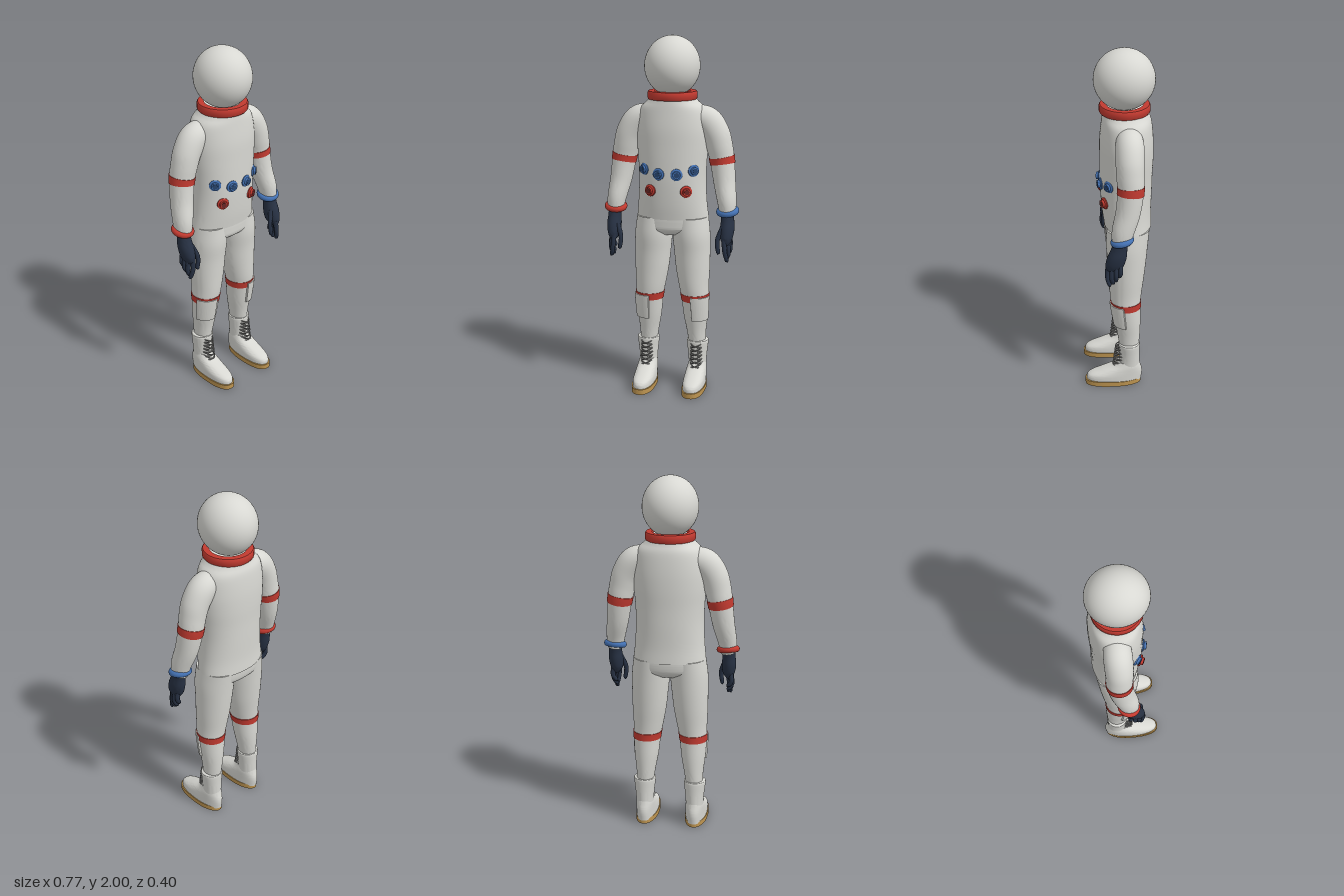
import * as THREE from 'three';
import { toCreasedNormals } from 'three/addons/utils/BufferGeometryUtils.js';

const paint = (name, color) => {
  const m = new THREE.MeshStandardMaterial({ color, side: THREE.DoubleSide });
  m.name = name;
  return m;
};

// Smooth loft through sections [x, y, z, rx, rz], listed from top to bottom.
// tilt: rings follow the path; from/to: part of the path; grow: offset outwards;
// a0/a1: part of the circumference; power: below 1 makes rings squarer.
function loft(sections, o = {}) {
  const { tilt = false, from = 0, to = 1, grow = 0, a0 = 0, a1 = Math.PI * 2,
    power = 1, heel = 1, n = 40, steps = 36 } = o;
  const closed = a1 - a0 > 6.28;
  const path = new THREE.CatmullRomCurve3(sections.map(s => new THREE.Vector3(s[0], s[1], s[2])), false, 'catmullrom');
  const size = new THREE.CatmullRomCurve3(sections.map(s => new THREE.Vector3(s[3], s[4], 0)), false, 'catmullrom');
  const pos = [], idx = [], cols = closed ? n : n + 1;
  const u = new THREE.Vector3(1, 0, 0), v = new THREE.Vector3(0, 0, 1);
  const ts = [from];
  for (let i = 0; i <= steps; i++) ts.push(from + (to - from) * i / steps);
  ts.push(to);
  ts.forEach((t, i) => {
    const c = path.getPoint(t), r = size.getPoint(t);
    if (tilt) {
      const d = path.getTangent(t);
      v.set(0, 0, 1).addScaledVector(d, -d.z).normalize();
      u.crossVectors(v, d);
    }
    const rim = i === 0 || i === ts.length - 1;
    for (let j = 0; j < cols; j++) {
      const a = a0 + (a1 - a0) * j / n;
      const g = rim || (!closed && (j === 0 || j === n)) ? 0 : grow;
      const bend = k => Math.sign(k) * Math.abs(k) ** power;
      const p = c.clone()
        .addScaledVector(u, bend(Math.cos(a)) * (r.x + g) * (Math.sin(a) < 0 ? 1 - (1 - heel) * Math.sin(a) ** 2 : 1))
        .addScaledVector(v, bend(Math.sin(a)) * (r.y + g));
      pos.push(p.x, p.y, p.z);
    }
  });
  for (let i = 0; i < ts.length - 1; i++) {
    for (let j = 0; j < n; j++) {
      const k = (j + 1) % cols, a = i * cols + j, b = i * cols + k;
      idx.push(a, b, a + cols, b, b + cols, a + cols);
    }
  }
  // End caps
  if (closed && !grow) {
    const last = (ts.length - 1) * cols, top = pos.length / 3;
    for (const t of [from, to]) pos.push(...path.getPoint(t).toArray());
    for (let j = 0; j < n; j++) {
      const k = (j + 1) % n;
      idx.push(top, k, j, top + 1, last + j, last + k);
    }
  }
  const geo = new THREE.BufferGeometry();
  geo.setAttribute('position', new THREE.Float32BufferAttribute(pos, 3));
  geo.setIndex(idx);
  return toCreasedNormals(geo, 0.8);
}

export function createModel() {
  const white = paint('suit white', 0xd8d8d3);
  const red = paint('trim red', 0xc23a30);
  const blue = paint('trim blue', 0x4472b4);
  const navy = paint('glove navy', 0x273143);
  const tan = paint('sole tan', 0xbd9450);
  const grey = paint('lace grey', 0x8c8c8a);
  const darkRed = paint('port dark red', 0x6a2826);
  const darkBlue = paint('port dark blue', 0x29466f);

  const model = new THREE.Group();
  model.name = 'spacesuitFigure';
  const add = (name, geo, mat, parent = model) => {
    const m = new THREE.Mesh(geo, mat);
    m.name = name;
    parent.add(m);
    return m;
  };
  const lathe = (pts, n = 40) => toCreasedNormals(
    new THREE.LatheGeometry(pts.map(p => new THREE.Vector2(...p)), n), 0.7);

  // Helmet and neck ring
  const helmet = add('helmet', new THREE.SphereGeometry(1, 48, 32), white);
  helmet.scale.set(0.153, 0.165, 0.165);
  helmet.position.set(0, 1.835, -0.033);
  add('neckRing', lathe([[0.1, 1.655], [0.132, 1.655], [0.137, 1.662], [0.137, 1.692],
    [0.132, 1.7], [0.1, 1.7]], 48), red).position.z = -0.035;

  // Jacket and hips
  add('jacket', loft([
    [0, 1.68, -0.037, 0.115, 0.115], [0, 1.645, -0.04, 0.14, 0.124], [0, 1.6, -0.045, 0.18, 0.135],
    [0, 1.5, -0.045, 0.198, 0.145], [0, 1.4, -0.045, 0.198, 0.146], [0, 1.3, -0.043, 0.191, 0.144],
    [0, 1.2, -0.043, 0.188, 0.142], [0, 1.08, -0.046, 0.194, 0.136], [0, 0.995, -0.053, 0.203, 0.132],
  ], { n: 64, power: 0.94 }), white);
  add('hips', loft([
    [0, 1.03, -0.052, 0.197, 0.126], [0, 0.97, -0.051, 0.204, 0.125],
    [0, 0.93, -0.048, 0.195, 0.116], [0, 0.9, -0.045, 0.12, 0.08],
  ], { n: 64, power: 0.92 }), white);

  // Chest ports, set square to the curve of the jacket
  const ports = [[0.136, 1.275, blue, darkBlue], [0.05, 1.255, blue, darkBlue], [0.1, 1.16, red, darkRed]];
  for (const s of [-1, 1]) for (const [x, y, mat, dark] of ports) {
    const k = Math.sqrt(1 - (x / 0.188) ** 2);
    const port = new THREE.Group();
    port.name = 'chestPort';
    port.position.set(s * x, y, -0.043 + 0.143 * k);
    port.quaternion.setFromUnitVectors(new THREE.Vector3(0, 1, 0),
      new THREE.Vector3(s * x / 0.188 ** 2, 0, k / 0.143).normalize());
    add('portCollar', lathe([[0.033, -0.012], [0.033, 0.005], [0.029, 0.009], [0.022, 0.01],
      [0.021, 0.022], [0.013, 0.022], [0.013, 0.014]], 24), mat, port);
    add('portCentre', new THREE.CylinderGeometry(0.016, 0.016, 0.007, 6), dark, port).position.y = 0.02;
    model.add(port);
  }

  for (const s of [-1, 1]) {
    const side = s > 0 ? 'left' : 'right';
    const flip = list => list.map(([x, ...rest]) => [s * x, ...rest]);
    const limb = new THREE.Group(), leg = new THREE.Group();
    limb.name = side + 'Arm';
    leg.name = side + 'Leg';
    model.add(limb, leg);

    // Sleeve with band
    const arm = flip([
      [0.13, 1.565, -0.05, 0.065, 0.068], [0.195, 1.535, -0.05, 0.078, 0.075], [0.24, 1.47, -0.048, 0.077, 0.075],
      [0.262, 1.4, -0.048, 0.073, 0.073], [0.278, 1.32, -0.05, 0.068, 0.07], [0.295, 1.2, -0.035, 0.061, 0.066],
      [0.313, 1.1, -0.008, 0.053, 0.06], [0.32, 1.03, 0.002, 0.044, 0.05],
    ]);
    add('sleeve', loft(arm, { tilt: true }), white, limb);
    add('armBand', loft(arm, { tilt: true, from: 0.538, to: 0.598, grow: 0.003, steps: 6 }), red, limb);

    // Wrist ring
    const ring = add('wristRing', new THREE.TorusGeometry(0.046, 0.018, 16, 40), s > 0 ? blue : red, limb);
    ring.position.set(s * 0.319, 1.045, -0.003);
    ring.rotation.set(Math.PI / 2 + 0.22, s * 0.08, 0);

    // Glove: palm and fingers
    add('palm', loft(flip([
      [0.32, 1.05, 0, 0.036, 0.04], [0.322, 1, 0.012, 0.036, 0.043], [0.322, 0.95, 0.024, 0.04, 0.052],
      [0.32, 0.9, 0.036, 0.034, 0.051], [0.322, 0.868, 0.042, 0.018, 0.036],
    ]), { n: 24, steps: 16 }), navy, limb);
    const fingers = {
      indexFinger: [[0.312, 0.9, 0.07], [0.318, 0.83, 0.077], [0.328, 0.78, 0.066]],
      middleFinger: [[0.325, 0.89, 0.05], [0.335, 0.82, 0.053], [0.32, 0.785, 0.046]],
      ringFinger: [[0.333, 0.89, 0.03], [0.34, 0.835, 0.03], [0.32, 0.8, 0.03]],
      littleFinger: [[0.334, 0.9, 0.008], [0.338, 0.855, 0.006], [0.32, 0.825, 0.012]],
      thumb: [[0.3, 0.96, 0.045], [0.274, 0.89, 0.066], [0.28, 0.825, 0.07]],
    };
    for (const [name, [a, b, c]] of Object.entries(fingers)) {
      add(name, loft(flip([[...a, 0.015, 0.015], [...b, 0.013, 0.013], [...c, 0.011, 0.011],
        [c[0], c[1] - 0.007, c[2], 0.002, 0.002]]), { tilt: true, n: 12, steps: 12 }), navy, limb);
    }

    // Trouser leg with band and shin pocket
    const trouser = flip([
      [0.102, 1, -0.05, 0.1, 0.118], [0.108, 0.9, -0.043, 0.106, 0.116], [0.113, 0.8, -0.043, 0.102, 0.107],
      [0.118, 0.7, -0.04, 0.096, 0.099], [0.125, 0.6, -0.036, 0.085, 0.09], [0.132, 0.53, -0.037, 0.078, 0.083],
      [0.135, 0.42, -0.046, 0.069, 0.075], [0.138, 0.33, -0.053, 0.056, 0.065], [0.142, 0.25, -0.056, 0.047, 0.056],
    ]);
    add('trouserLeg', loft(trouser), white, leg);
    add('kneeBand', loft(trouser, { from: 0.588, to: 0.648, grow: 0.003, steps: 6 }), red, leg);
    const [a0, a1] = s > 0 ? [0.15, 1.75] : [Math.PI - 1.75, Math.PI - 0.15];
    add('shinPocket', loft(trouser, { from: 0.608, to: 0.776, grow: 0.009, a0, a1, n: 30, steps: 14 }), white, leg);

    // Boot: shaft, foot and sole
    const bx = s * 0.145;
    add('bootShaft', loft([
      [bx, 0.272, -0.056, 0.058, 0.058], [bx, 0.262, -0.056, 0.063, 0.062], [bx, 0.2, -0.057, 0.056, 0.06],
      [bx, 0.14, -0.057, 0.051, 0.06], [bx, 0.08, -0.055, 0.05, 0.062],
    ]), white, leg);
    add('bootFoot', loft([
      [bx, 0.145, -0.053, 0.046, 0.062], [bx, 0.118, -0.04, 0.053, 0.082], [bx, 0.09, -0.008, 0.057, 0.122],
      [bx, 0.06, 0.026, 0.06, 0.158], [bx, 0.02, 0.033, 0.06, 0.16],
    ], { power: 0.85, heel: 0.85 }), white, leg);
    add('sole', loft([[bx, 0.03, 0.038, 0.064, 0.162], [bx, 0, 0.038, 0.064, 0.162]],
      { power: 0.8, heel: 0.8, n: 56, steps: 2 }), tan, leg);

    // Crossed laces bulging from the boot front
    for (let i = 0; i < 6; i++) for (const d of [-1, 1]) {
      const y = 0.118 + i * 0.023;
      const z = 0.022 - i * 0.003;
      const curve = new THREE.CatmullRomCurve3([
        new THREE.Vector3(bx - 0.033 * d, y, z - 0.028), new THREE.Vector3(bx - 0.02 * d, y + 0.005, z + 0.008),
        new THREE.Vector3(bx, y + 0.012, z + 0.017), new THREE.Vector3(bx + 0.02 * d, y + 0.018, z + 0.008),
        new THREE.Vector3(bx + 0.033 * d, y + 0.023, z - 0.028)]);
      add('lace', new THREE.TubeGeometry(curve, 14, 0.0032, 6), grey, leg);
    }
  }
  return model;
}
